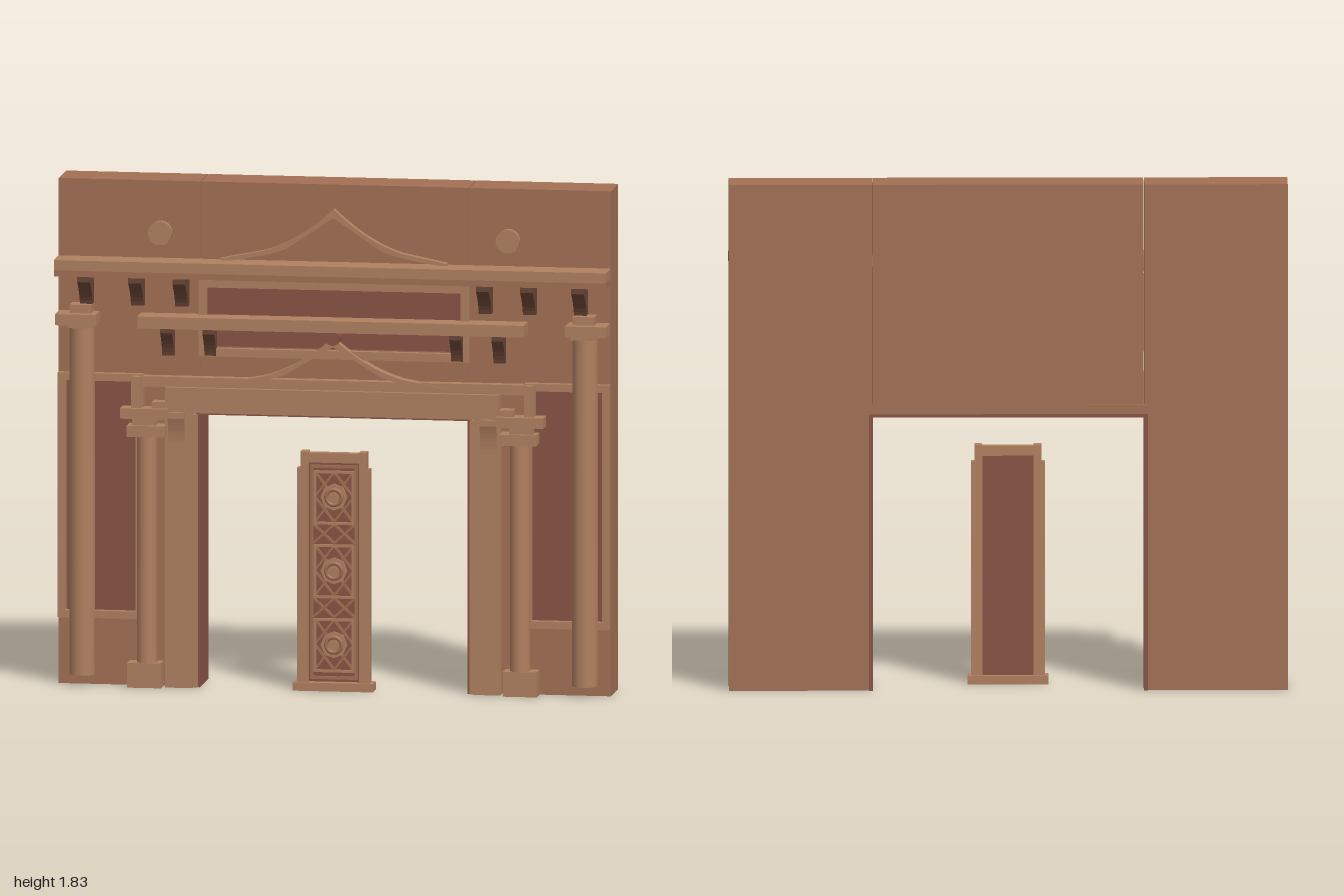
import * as THREE from 'three';

const paint = (color) => new THREE.MeshStandardMaterial({ color });
const WALL = paint(0xa27054), TRIM = paint(0xb08060), PANEL = paint(0x875443), DARK = paint(0x6a4636);

export function createModel() {
  const root = new THREE.Group();

  const add = (name, geo, mat, parent = root) => {
    const m = new THREE.Mesh(geo, mat);
    m.name = name;
    parent.add(m);
    return m;
  };
  // Box given by its extents on each axis
  const box = (name, x0, x1, y0, y1, z0, z1, mat = TRIM, parent = root) => {
    const m = add(name, new THREE.BoxGeometry(x1 - x0, y1 - y0, z1 - z0), mat, parent);
    m.position.set((x0 + x1) / 2, (y0 + y1) / 2, (z0 + z1) / 2);
    return m;
  };
  // The same box on both sides of the centre line
  const pair = (name, x0, x1, ...rest) => {
    box(name + 'Left', x0, x1, ...rest);
    box(name + 'Right', -x1, -x0, ...rest);
  };
  const bothSides = (fn) => [1, -1].forEach(fn);
  // Rectangular frame with border w
  const frame = (name, x0, x1, y0, y1, z0, z1, w, mat = TRIM, parent = root) => {
    box(name + 'Bottom', x0, x1, y0, y0 + w, z0, z1, mat, parent);
    box(name + 'Top', x0, x1, y1 - w, y1, z0, z1, mat, parent);
    box(name + 'SideA', x0, x0 + w, y0 + w, y1 - w, z0, z1, mat, parent);
    box(name + 'SideB', x1 - w, x1, y0 + w, y1 - w, z0, z1, mat, parent);
  };

  // Wall: two piers and the overmantel between them
  pair('wallPier', 0.487, 1, 0, 1.83, -0.145, 0.03, WALL);
  box('wallCentre', -0.484, 0.484, 1.0, 1.83, -0.145, 0.03, WALL);

  // Lining of the opening
  pair('openingLining', 0.485, 0.5, 0, 1.0, -0.149, 0.05, PANEL);
  box('openingLiningTop', -0.5, 0.5, 0.988, 1.0, -0.149, 0.05, PANEL);
  box('liningLip', -0.5, 0.5, 1.0, 1.035, -0.149, -0.14, WALL);

  // Side panels with their frames
  pair('sidePanel', 0.7, 0.97, 0.26, 1.11, 0.02, 0.034, PANEL);
  bothSides((s) => {
    const [a, b] = s > 0 ? [0.69, 1] : [-1, -0.69];
    frame('sidePanelFrame', a, b, 0.243, 1.13, 0.025, 0.06, 0.027);
  });

  // Overmantel panel
  box('overmantelPanel', -0.465, 0.465, 1.235, 1.465, 0.02, 0.035, PANEL);
  frame('overmantelFrame', -0.49, 0.49, 1.2, 1.48, 0.025, 0.055, 0.03);

  // Pilasters and stepped jambs
  pair('pilaster', 0.51, 0.607, 0, 1.0, 0.02, 0.075);
  pair('jambStep', 0.493, 0.512, 0, 0.99, 0.02, 0.06);

  // Lintel in stacked courses
  box('lintelLower', -0.655, 0.655, 0.998, 1.035, 0.02, 0.082);
  box('lintelFrieze', -0.605, 0.605, 1.02, 1.09, 0.02, 0.092);
  box('lintelTop', -0.69, 0.69, 1.088, 1.125, 0.02, 0.07);

  // Bracket with a concave front, against the wall
  const bracketShape = (depth, height) => {
    const s = new THREE.Shape();
    s.moveTo(0, 0);
    s.lineTo(depth, 0);
    s.lineTo(depth, -height * 0.2);
    s.quadraticCurveTo(depth * 0.45, -height * 0.6, depth * 0.35, -height);
    s.lineTo(0, -height);
    return s;
  };
  const bracket = (name, x, top, z, width, depth, height, mat = DARK) => {
    const geo = new THREE.ExtrudeGeometry(bracketShape(depth, height), { depth: width, bevelEnabled: false, curveSegments: 6 });
    geo.translate(0, 0, -width / 2).rotateY(-Math.PI / 2);
    add(name, geo, mat).position.set(x, top, z);
  };

  // Cornice and lower shelf with brackets
  box('cornice', -1, 1, 1.513, 1.55, -0.015, 0.145);
  box('corniceLip', -1, 1, 1.49, 1.514, 0.02, 0.138, WALL);
  box('shelf', -0.7, 0.7, 1.307, 1.35, 0.02, 0.127);
  bothSides((s) => {
    [0.895, 0.71, 0.55].forEach((x) => bracket('corniceBracket', s * x, 1.492, 0.028, 0.046, 0.1, 0.112));
    [0.6, 0.447].forEach((x) => bracket('shelfBracket', s * x, 1.31, 0.028, 0.042, 0.075, 0.11));
    bracket('lintelBracket', s * 0.565, 1.0, 0.07, 0.06, 0.028, 0.11, TRIM);
  });

  // Columns
  bothSides((s) => {
    const column = (name, x, r, y0, y1, z) => {
      const prof = [[0, y0], [r, y0], [r, y0 + 0.001], [r * 0.97, y1 - 0.001], [r * 0.97, y1], [0, y1]];
      const geo = new THREE.LatheGeometry(prof.slice(1, 5).map((p) => new THREE.Vector2(...p)), 24);
      add(name, geo, TRIM).position.set(s * x, 0, z);
      const cap = add(name + 'Foot', new THREE.CircleGeometry(r, 24), TRIM);
      cap.rotation.x = Math.PI / 2;
      cap.position.set(s * x, y0, z);
    };
    const block = (name, x0, x1, ...rest) => (s > 0 ? box(name, x0, x1, ...rest) : box(name, -x1, -x0, ...rest));

    column('outerColumn', 0.911, 0.046, 0.04, 1.31, 0.059);
    block('outerColumnBack', 0.868, 0.954, 0.04, 1.3, 0.02, 0.055);
    block('outerCapitalLower', 0.868, 0.954, 1.3, 1.32, 0.02, 0.115);
    block('outerCapital', 0.85, 0.998, 1.312, 1.352, 0.02, 0.13);
    block('outerCapitalTop', 0.872, 0.95, 1.35, 1.382, 0.02, 0.095);

    column('innerColumn', 0.676, 0.036, 0.08, 0.92, 0.062);
    block('innerColumnBack', 0.642, 0.71, 0.08, 0.92, 0.02, 0.055);
    block('innerBase', 0.62, 0.742, 0, 0.09, 0.02, 0.098);
    block('innerCapitalLower', 0.605, 0.742, 0.91, 0.95, 0.02, 0.105);
    block('innerCapitalNeck', 0.64, 0.725, 0.945, 0.985, 0.02, 0.09);
    block('innerCapital', 0.595, 0.767, 0.975, 1.012, 0.02, 0.105);
    block('capitalPost', 0.695, 0.73, 1.01, 1.125, 0.02, 0.085);
  });

  // Sweeping pediment band, tapering toward its ends
  const pediment = (name, base, apex, z0, z1) => {
    const h = apex - base;
    const s = new THREE.Shape();
    s.moveTo(0, apex);
    s.quadraticCurveTo(0.12, base + h * 0.42, 0.25, base + h * 0.22);
    s.lineTo(0.41, base + h * 0.06);
    s.lineTo(0.41, base);
    s.quadraticCurveTo(0.2, base + h * 0.15, 0.16, base + h * 0.3);
    s.quadraticCurveTo(0.1, base + h * 0.5, 0, apex - 0.032);
    s.quadraticCurveTo(-0.1, base + h * 0.5, -0.16, base + h * 0.3);
    s.quadraticCurveTo(-0.2, base + h * 0.15, -0.41, base);
    s.lineTo(-0.41, base + h * 0.06);
    s.lineTo(-0.25, base + h * 0.22);
    s.quadraticCurveTo(-0.12, base + h * 0.42, 0, apex);
    add(name, new THREE.ExtrudeGeometry(s, { depth: z1 - z0, bevelEnabled: false, curveSegments: 10 }), TRIM).position.z = z0;
  };
  pediment('upperPediment', 1.545, 1.745, 0.025, 0.06);
  pediment('lowerPediment', 1.095, 1.28, 0.025, 0.075);

  // Round bosses
  const disc = (name, x, y, z0, z1, r, sides, mat = TRIM, parent = root) => {
    const geo = new THREE.CylinderGeometry(r, r, z1 - z0, sides).rotateX(Math.PI / 2);
    add(name, geo, mat, parent).position.set(x, y, (z0 + z1) / 2);
  };
  bothSides((s) => disc('wallBoss', s * 0.63, 1.642, 0.025, 0.056, 0.043, 24));
  disc('pedimentBoss', 0, 1.28, 0.03, 0.082, 0.027, 16, PANEL);

  // Freestanding ornamental screen in the opening
  const screen = new THREE.Group();
  screen.name = 'screen';
  root.add(screen);
  const part = (name, x0, x1, y0, y1, z0, z1, mat = TRIM) => box(name, x0, x1, y0, y1, z0, z1, mat, screen);
  part('screenBase', -0.145, 0.145, 0, 0.03, 0.005, 0.075);
  part('screenPanel', -0.095, 0.095, 0.03, 0.83, 0.028, 0.038, PANEL);
  part('screenTopRail', -0.095, 0.095, 0.825, 0.86, 0.02, 0.055);
  bothSides((s) => {
    const side = (name, a, b, ...rest) => part(name, Math.min(s * a, s * b), Math.max(s * a, s * b), ...rest);
    side('screenStile', 0.092, 0.12, 0.03, 0.865, 0.015, 0.06);
    side('screenOuterStile', 0.118, 0.132, 0.03, 0.805, 0.018, 0.055);
  });
  frame('screenInnerFrame', -0.085, 0.085, 0.04, 0.815, 0.036, 0.048, 0.01, WALL, screen);

  // Flat strip between two points on the screen
  const strip = (x0, y0, x1, y1) => {
    const m = add('latticeStrip', new THREE.BoxGeometry(Math.hypot(x1 - x0, y1 - y0), 0.008, 0.01), WALL, screen);
    m.position.set((x0 + x1) / 2, (y0 + y1) / 2, 0.042);
    m.rotation.z = Math.atan2(y1 - y0, x1 - x0);
  };
  [0.165, 0.433, 0.7].forEach((y) => {
    frame('latticeSquare', -0.073, 0.073, y - 0.1, y + 0.095, 0.036, 0.049, 0.009, TRIM, screen);
    bothSides((s) => {
      strip(-0.07, y - s * 0.092, 0.07, y + s * 0.092);
      strip(s * 0.07, y, 0, y + 0.09);
      strip(s * 0.07, y, 0, y - 0.09);
    });
    disc('rosette', 0, y, 0.036, 0.052, 0.048, 8, TRIM, screen);
    const ring = add('rosetteRing', new THREE.TorusGeometry(0.028, 0.007, 8, 20), WALL, screen);
    ring.position.set(0, y, 0.052);
    disc('rosetteCentre', 0, y, 0.05, 0.058, 0.015, 12, TRIM, screen);
  });
  // Crossed strips between the squares
  [0.299, 0.567].forEach((y) => bothSides((s) => {
    strip(-0.075, y - s * 0.034, 0, y + s * 0.034);
    strip(0, y - s * 0.034, 0.075, y + s * 0.034);
  }));

  return root;
}
